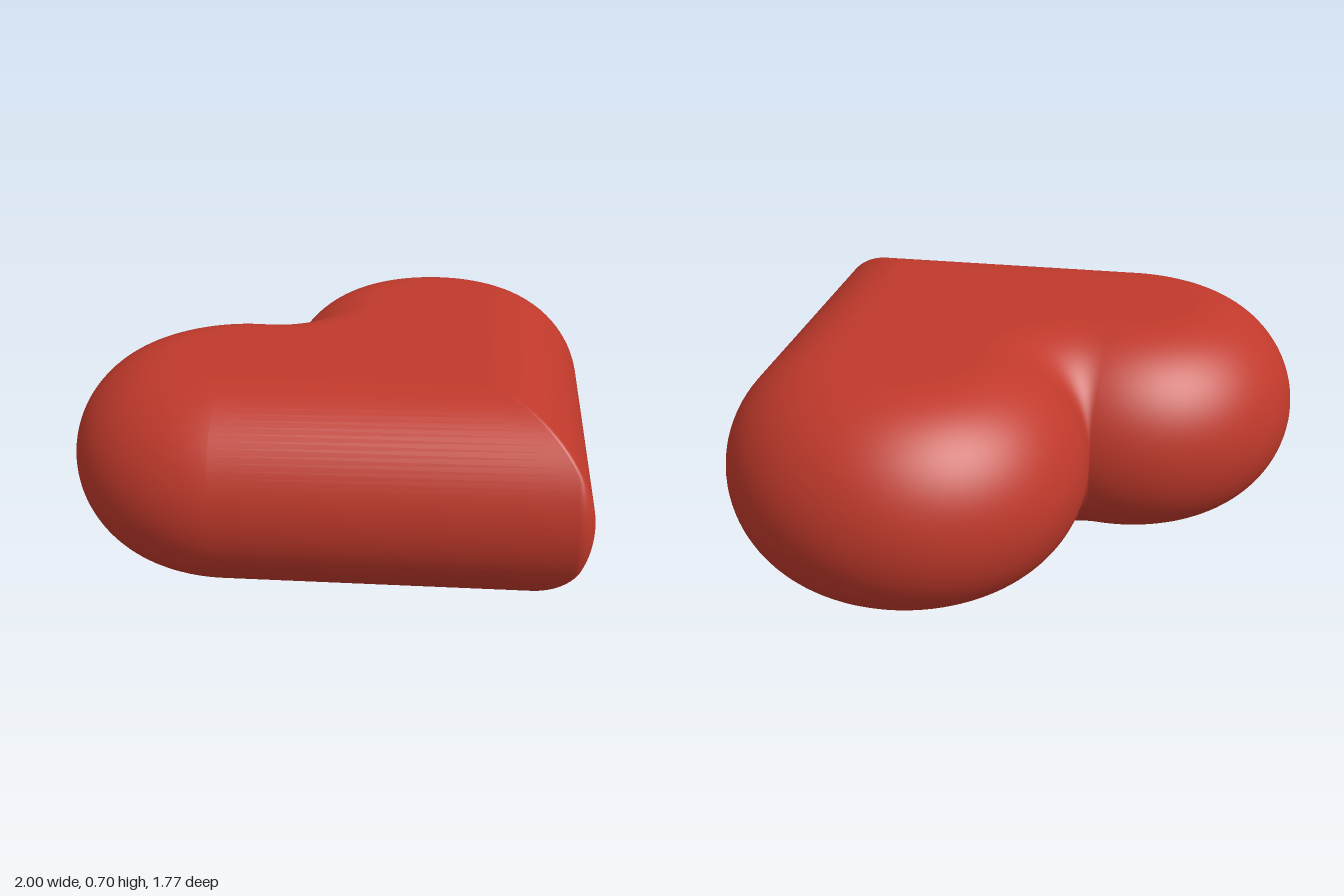
import * as THREE from 'three';

const R = 0.56;          // lobe radius
const CX = 0.44, CZ = -0.325; // lobe centre
const EDGE = 0.352;      // edge rounding radius, half the thickness
const TIP = 0.053;       // rounding of the point
const NOTCH_Z = CZ - Math.sqrt(R * R - CX * CX);
const POINT_Z = CX + CZ + R * Math.SQRT2; // where the straight sides meet

// Heart outline moved inward by d: entries are [x, z, outward x, outward z]
function outline(d) {
  const half = [];
  const arc = (cx, cz, r, from, to, n, sign) => {
    for (let i = 0; i <= n; i++) {
      const t = from + (to - from) * i / n, c = Math.cos(t), s = Math.sin(t);
      half.push([cx + r * c, cz + r * s, sign * c, sign * s]);
    }
  };
  const toNotch = Math.atan2(NOTCH_Z - CZ, -CX);
  arc(0, NOTCH_Z, d, Math.PI / 2, toNotch + Math.PI, 12, -1);  // notch
  arc(CX, CZ, R - d, toNotch, Math.PI / 4, 56, 1);             // lobe
  const f = Math.max(TIP - d, 0.012);
  arc(0, POINT_Z - (d + f) * Math.SQRT2, f, Math.PI / 4, Math.PI / 2, 6, 1); // point
  const mirrored = half.slice(1, -1).reverse().map(([x, z, nx, nz]) => [-x, z, -nx, nz]);
  return [...half, ...mirrored];
}

function heartGeometry() {
  const RINGS = 48, pos = [], nor = [], idx = [];
  let n = 0;

  // Rounded wall: inset outlines stacked along a semicircle
  for (let j = 0; j <= RINGS; j++) {
    const a = Math.PI * (j / RINGS - 0.5), c = Math.cos(a), s = Math.sin(a);
    const ring = outline(EDGE * (1 - c));
    n = ring.length;
    for (const [x, z, nx, nz] of ring) {
      pos.push(x, EDGE * (1 + s), z);
      nor.push(nx * c, s, nz * c);
    }
  }
  for (let j = 0; j < RINGS; j++) {
    for (let i = 0; i < n; i++) {
      const k = (i + 1) % n;
      const a = j * n + i, b = j * n + k;
      idx.push(a, a + n, b, b, a + n, b + n);
    }
  }

  // Flat bottom and top
  const bottom = pos.length / 3, top = bottom + 1, last = RINGS * n;
  pos.push(0, 0, 0.1, 0, 2 * EDGE, 0.1);
  nor.push(0, -1, 0, 0, 1, 0);
  for (let i = 0; i < n; i++) {
    const k = (i + 1) % n;
    idx.push(bottom, i, k, top, last + k, last + i);
  }

  const g = new THREE.BufferGeometry();
  g.setAttribute('position', new THREE.Float32BufferAttribute(pos, 3));
  g.setAttribute('normal', new THREE.Float32BufferAttribute(nor, 3));
  g.setIndex(idx);
  return g;
}

export function createModel() {
  const group = new THREE.Group();
  group.name = 'heart';
  const body = new THREE.Mesh(heartGeometry(), new THREE.MeshStandardMaterial({ color: 0xc0392b }));
  body.name = 'heartBody';
  group.add(body);
  return group;
}
